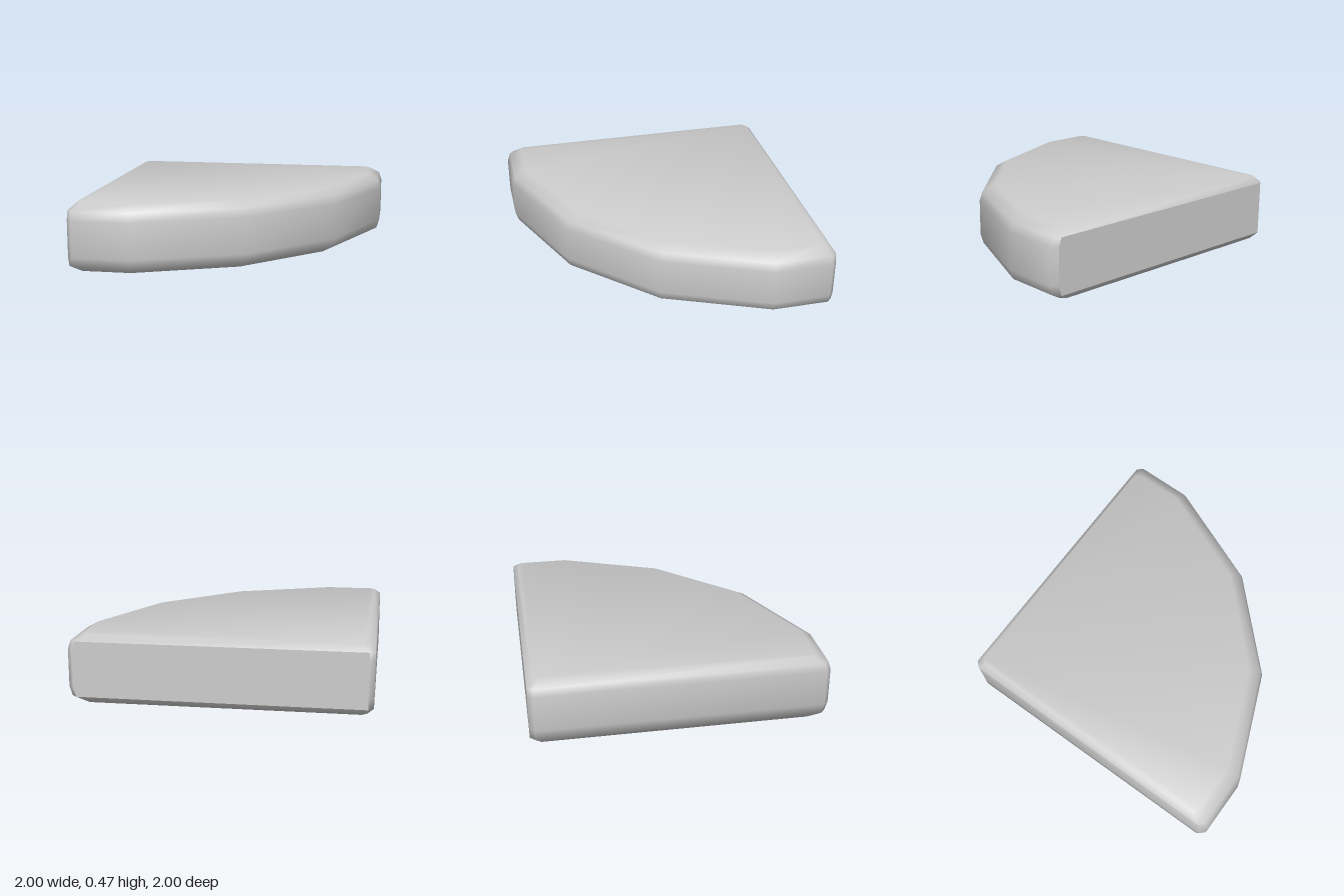
import * as THREE from 'three';

// Plan outline (x, z), anticlockwise seen from above
const OUTLINE = [[-1, -1], [-1, 1], [-0.57, 1], [0.15, 0.7], [0.7, 0.15], [1, -0.57], [1, -1]];
const FLAT_EDGES = [0, 6]; // the two straight inner sides
const SQUARE_CORNERS = [0, 1, 6]; // clipped by a small chamfer
const CHAMFER = 0.035;

// Levels: height, inset of the curved rim, inset of straight sides, upward lean of the normal
const LEVELS = [
  [0, 0.1, 0.04, -3],
  [0.045, 0.02, 0, -0.7],
  [0.11, 0, 0, -0.12],
  [0.36, 0, 0, 0.12],
  [0.42, 0.02, 0, 0.7],
  [0.465, 0.1, 0.04, 3],
];

// Outline moved inwards edge by edge, with its square corners clipped
function insetOutline(rimInset, flatInset) {
  const n = OUTLINE.length;
  const lines = OUTLINE.map(([x, z], i) => {
    const [x2, z2] = OUTLINE[(i + 1) % n];
    const out = new THREE.Vector2(-(z2 - z), x2 - x).normalize();
    const inset = FLAT_EDGES.includes(i) ? flatInset : rimInset;
    return { out, c: out.x * x + out.y * z - inset };
  });
  const corners = lines.map((b, i) => {
    const a = lines[(i + n - 1) % n];
    const det = a.out.x * b.out.y - a.out.y * b.out.x;
    return new THREE.Vector2((a.c * b.out.y - b.c * a.out.y) / det, (a.out.x * b.c - b.out.x * a.c) / det);
  });
  return corners.flatMap((p, i) => {
    if (!SQUARE_CORNERS.includes(i)) return [p];
    const toward = (q) => p.clone().add(q.clone().sub(p).setLength(CHAMFER));
    return [toward(corners[(i + n - 1) % n]), toward(corners[(i + 1) % n])];
  });
}

function createSlabGeometry() {
  const positions = [], normals = [];
  const triangle = (...verts) => verts.forEach(({ p, n }) => {
    positions.push(p.x, p.y, p.z);
    normals.push(n.x, n.y, n.z);
  });

  // Rings of points with soft normals
  const rings = LEVELS.map(([y, rim, flat, lean]) => {
    const pts = insetOutline(rim, flat);
    const edgeOut = (i) => {
      const a = pts[i], b = pts[(i + 1) % pts.length];
      return new THREE.Vector3(a.y - b.y, 0, b.x - a.x).normalize();
    };
    return pts.map((q, i) => {
      const n = edgeOut(i).add(edgeOut((i + pts.length - 1) % pts.length)).normalize();
      n.y = lean;
      return { p: new THREE.Vector3(q.x, y, q.y), n: n.normalize() };
    });
  });

  // Sides and rounded rim; the back face stays flat
  const count = rings[0].length;
  const back = new THREE.Vector3(0, 0, -1);
  for (let k = 0; k < rings.length - 1; k++) {
    for (let i = 0; i < count; i++) {
      const j = (i + 1) % count;
      let quad = [rings[k][i], rings[k][j], rings[k + 1][j], rings[k + 1][i]];
      if (quad.every(({ p }) => p.z < -0.999)) quad = quad.map(({ p }) => ({ p, n: back }));
      triangle(quad[0], quad[1], quad[2]);
      triangle(quad[0], quad[2], quad[3]);
    }
  }

  // Top and bottom, fanned from the square corner
  const bottom = rings[0], top = rings[rings.length - 1];
  for (let i = 1; i < count - 1; i++) {
    triangle(top[0], top[i], top[i + 1]);
    triangle(bottom[0], bottom[i + 1], bottom[i]);
  }

  const geometry = new THREE.BufferGeometry();
  geometry.setAttribute('position', new THREE.Float32BufferAttribute(positions, 3));
  geometry.setAttribute('normal', new THREE.Float32BufferAttribute(normals, 3));
  return geometry;
}

export function createModel() {
  const group = new THREE.Group();
  group.name = 'quarterRoundSlab';
  const slab = new THREE.Mesh(createSlabGeometry(), new THREE.MeshStandardMaterial({ color: 0xcccccc }));
  slab.name = 'slab';
  group.add(slab);
  return group;
}
